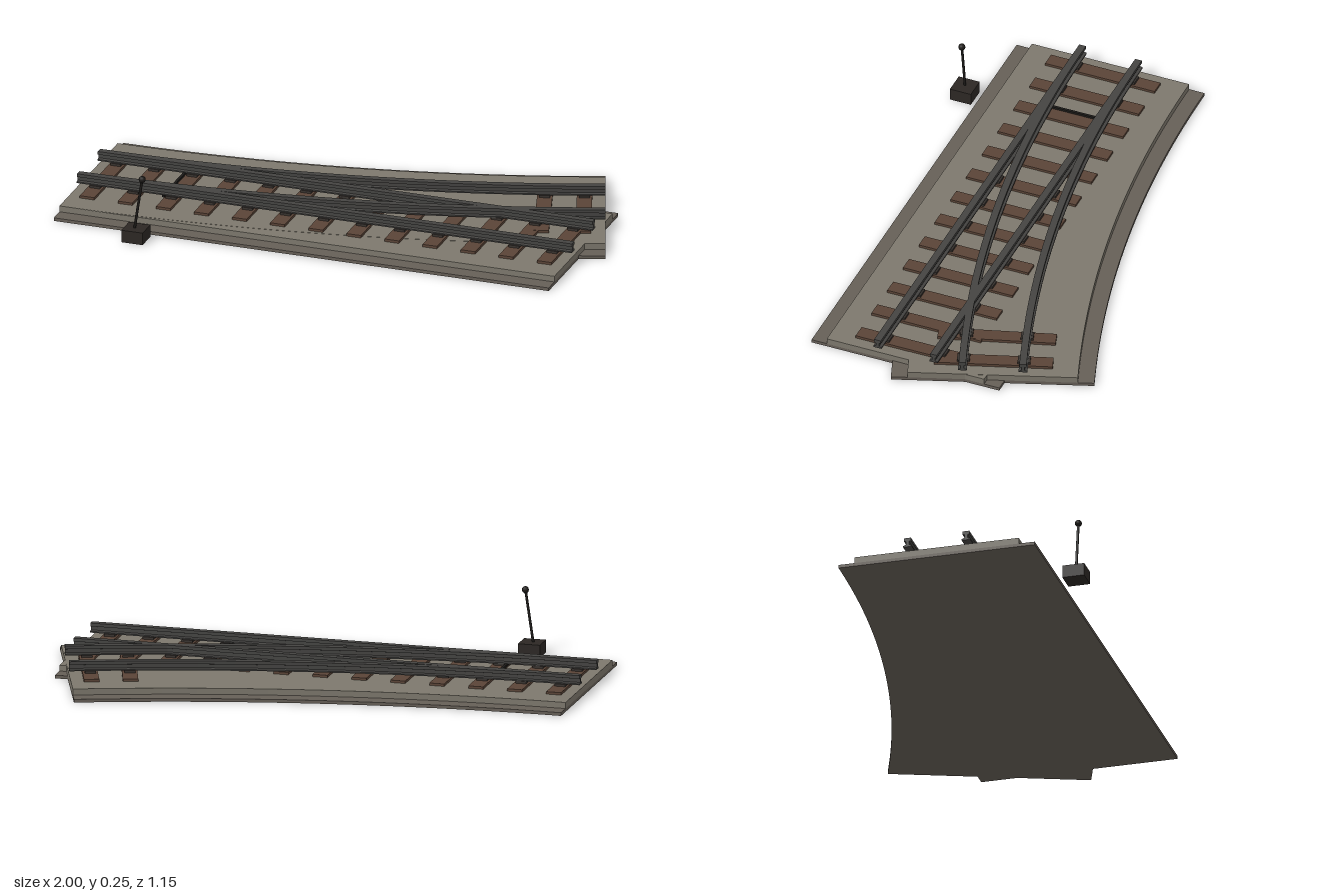
import * as THREE from 'three';

const X0 = -1, ZC = 0.104;          // start of both routes
const LENGTH = 1.906;               // straight route
const R = 5.5, ANGLE = 0.3473;      // diverging route
const GAUGE = 0.11;                 // half distance between rails
const SPACING = 0.1467;

const mat = (color) => new THREE.MeshStandardMaterial({ color });

// Point on a route: s along it, off sideways towards -z
function straight(s, off) {
  return [X0 + s, ZC - off, 0];
}
function diverging(s, off) {
  const a = s / R;
  return [X0 + (R - off) * Math.sin(a), ZC - R + (R - off) * Math.cos(a), a];
}

// Extrude a cross-section and bend it along a route
function sweep(profile, route, length, steps) {
  const shape = new THREE.Shape(profile.map(([x, y]) => new THREE.Vector2(x, y)));
  const geo = new THREE.ExtrudeGeometry(shape, { depth: length, steps, bevelEnabled: false });
  const p = geo.attributes.position;
  for (let i = 0; i < p.count; i++) {
    const [x, z] = route(p.getZ(i), p.getX(i));
    p.setXYZ(i, x, p.getY(i), z);
  }
  geo.computeVertexNormals();
  return geo;
}

const slab = (w, y0, y1) => [[-w, y0], [w, y0], [w, y1], [-w, y1]];

// Rail section with foot, web and head
function railProfile(off) {
  const half = [[0.016, 0.052], [0.016, 0.057], [0.006, 0.06], [0.006, 0.073], [0.013, 0.075], [0.013, 0.087]];
  const other = half.map(([x, y]) => [-x, y]).reverse();
  return [...half, ...other].map(([x, y]) => [x + off, y]);
}

export function createModel() {
  const group = new THREE.Group();
  const lowerMat = mat(0x665f57), upperMat = mat(0x7d786d), woodMat = mat(0x5a4437);
  const railMat = mat(0x454442), chairMat = mat(0x38332f), blackMat = mat(0x1c1a18), boxMat = mat(0x2c2724);

  const add = (name, geo, material, parent = group) => {
    const mesh = new THREE.Mesh(geo, material);
    mesh.name = name;
    parent.add(mesh);
    return mesh;
  };

  const sleeperGeo = new THREE.BoxGeometry(0.056, 0.012, 0.43);
  const chairGeo = new THREE.BoxGeometry(0.04, 0.01, 0.046);

  const routes = [
    { name: 'straight', route: straight, length: LENGTH, steps: 1, first: 0, lift: 0 },
    { name: 'diverging', route: diverging, length: R * ANGLE, steps: 28, first: 11, lift: 0.0008 },
  ];

  for (const { name, route, length, steps, first, lift } of routes) {
    // Two-step ballast bed
    add(name + 'BallastBase', sweep(slab(0.369, 0, 0.012), route, length, steps), lowerMat);
    add(name + 'BallastTop', sweep(slab(0.309, 0.01, 0.034 + lift), route, length, steps), upperMat);

    // Rails
    for (const side of [-1, 1]) {
      add(name + 'Rail', sweep(railProfile(side * GAUGE), route, length, steps), railMat);
    }

    // Sleepers with a chair under each rail
    for (let i = first; i < 13; i++) {
      const [x, z, a] = route(0.072 + i * SPACING, 0);
      const tie = new THREE.Group();
      tie.name = name + 'Sleeper';
      tie.position.set(x, lift, z);
      tie.rotation.y = a;
      add('sleeper', sleeperGeo, woodMat, tie).position.y = 0.038;
      for (const side of [-1, 1]) {
        add('railChair', chairGeo, chairMat, tie).position.set(0, 0.048, side * GAUGE);
      }
      group.add(tie);
    }
  }

  // Rod joining the switch points
  add('switchRod', new THREE.BoxGeometry(0.01, 0.008, 0.245), blackMat).position.set(-0.665, 0.05, 0.112);

  // Hand lever beside the track
  const leverBase = new THREE.Vector3(-0.667, 0.04, 0.535);
  const leverTop = new THREE.Vector3(-0.637, 0.24, 0.535);
  add('leverBox', new THREE.BoxGeometry(0.082, 0.047, 0.082), boxMat).position.set(-0.662, 0.0235, 0.534);
  const dir = leverTop.clone().sub(leverBase);
  const lever = add('lever', new THREE.CylinderGeometry(0.005, 0.005, dir.length(), 8), blackMat);
  lever.position.copy(leverBase).lerp(leverTop, 0.5);
  lever.quaternion.setFromUnitVectors(new THREE.Vector3(0, 1, 0), dir.normalize());
  add('leverKnob', new THREE.SphereGeometry(0.013, 10, 8), blackMat).position.copy(leverTop);

  return group;
}
